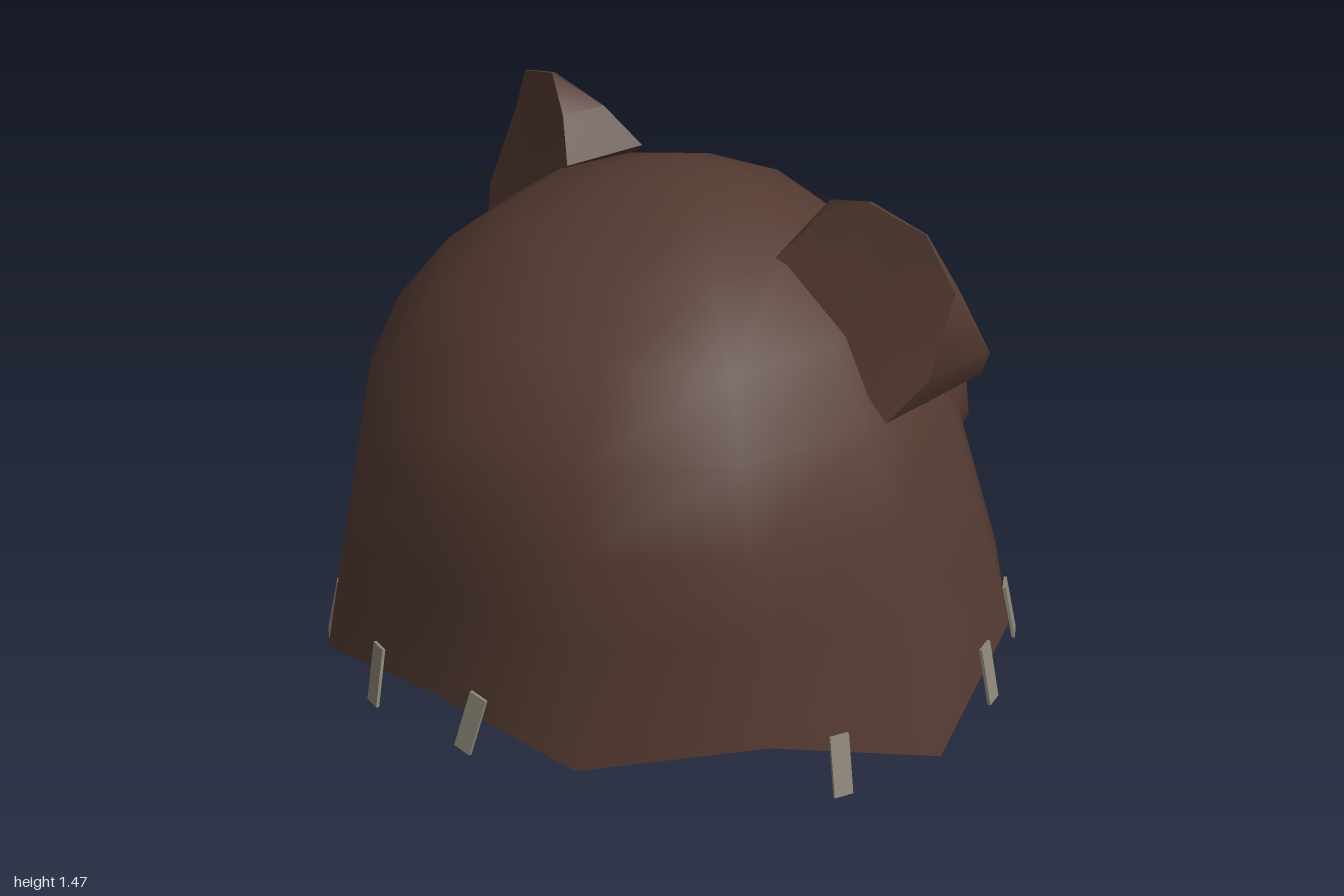
import * as THREE from 'three';
import { toCreasedNormals } from 'three/addons/utils/BufferGeometryUtils.js';

const mat = (name, color) => {
  const m = new THREE.MeshStandardMaterial({ color, side: THREE.DoubleSide });
  m.name = name;
  return m;
};

// Skin a surface over closed rings of points; a one-point ring is a pole.
function loft(rings) {
  const n = Math.max(...rings.map((r) => r.length));
  const pos = [], start = [], index = [];
  for (const r of rings) {
    start.push(pos.length / 3);
    for (const p of r) pos.push(...p);
  }
  const at = (i, k) => start[i] + (k % rings[i].length);
  for (let i = 0; i < rings.length - 1; i++) {
    for (let k = 0; k < n; k++) {
      const a = at(i, k), b = at(i, k + 1), c = at(i + 1, k + 1), d = at(i + 1, k);
      if (a !== b) index.push(a, b, c);
      if (c !== d) index.push(a, c, d);
    }
  }
  const g = new THREE.BufferGeometry();
  g.setAttribute('position', new THREE.Float32BufferAttribute(pos, 3));
  g.setIndex(index);
  g.computeVertexNormals();
  return g;
}

export function createModel() {
  const group = new THREE.Group();
  const fur = mat('brown fur', 0x543a31);
  const noseMat = mat('dark nose', 0x2e3124);
  const thread = mat('grey stitches', 0x8f8878);
  const add = (name, geometry, material) => {
    const m = new THREE.Mesh(geometry, material);
    m.name = name;
    group.add(m);
    return m;
  };

  // Hood: ragged rim, then elliptical rings [y, radiusX, radiusZ, centreZ]
  const rim = [
    [0, 0.2, 0.97], [0.47, 0.13, 0.87], [0.81, 0.19, 0.5], [1, 0.02, 0.03],
    [0.82, 0.13, -0.46], [0.45, 0.07, -0.85], [-0.02, 0.11, -0.9], [-0.52, 0.06, -0.86],
    [-0.84, 0.13, -0.47], [-1, 0.13, 0.03], [-0.83, 0.19, 0.54], [-0.53, 0.05, 0.9],
  ];
  const domeRings = [
    [0.73, 0.875, 0.82, 0.09], [0.95, 0.77, 0.74, 0.09], [1.14, 0.63, 0.6, 0.07],
    [1.285, 0.43, 0.42, 0.05], [1.37, 0.21, 0.2, 0.03],
  ].map(([y, rx, rz, cz]) => rim.map((_, k) => {
    const a = (k * Math.PI) / 6;
    return [-0.015 + rx * Math.sin(a), y, cz + rz * Math.cos(a)];
  }));
  const waist = rim.map((p, k) => p.map((v, i) => v + (domeRings[0][k][i] - v) * 0.57));
  add('hood', loft([rim, waist, ...domeRings, [[-0.015, 1.4, 0.03]]]), fur);

  // Ears: wedges that widen toward the base at both ends
  const frontRim = [
    [0.76, 0.95, 0.03], [0.83, 1.07, -0.05], [0.82, 1.28, -0.15], [0.74, 1.43, -0.12],
    [0.58, 1.48, -0.08], [0.46, 1.41, -0.01], [0.38, 1.3, 0.05],
  ];
  const backRim = [
    [0.76, 0.95, -0.35], [0.84, 1.07, -0.28], [0.82, 1.28, -0.17], [0.74, 1.43, -0.125],
    [0.58, 1.48, -0.09], [0.41, 1.42, -0.12], [0.32, 1.31, -0.18],
  ];
  const earRings = [[[0.58, 1.2, -0.2]], backRim, frontRim, [[0.58, 1.2, 0]]];
  const mirrored = earRings.map((r) => r.map(([x, y, z]) => [-0.04 - x, y, z]).reverse());
  add('leftEar', toCreasedNormals(loft(earRings), 0.7), fur);
  add('rightEar', toCreasedNormals(loft(mirrored), 0.7), fur);

  // Muzzle: tilted oval cushion on the -z side
  const oval = (rx, yTop, zTop, yLow, zLow) => Array.from({ length: 10 }, (_, k) => {
    const a = (k * Math.PI) / 5 + Math.PI / 2, s = (Math.sin(a) + 1) / 2;
    return [-0.025 - rx * Math.cos(a), yLow + (yTop - yLow) * s, zLow + (zTop - zLow) * s];
  });
  add('muzzle', loft([
    oval(0.37, 0.73, -0.72, 0.22, -0.83),
    oval(0.31, 0.69, -0.87, 0.26, -0.94),
    [[-0.025, 0.5, -0.98]],
  ]), fur);

  // Nose pad and the line below it
  const nose = add('nose', new THREE.CylinderGeometry(0.12, 0.145, 0.03, 10), noseMat);
  nose.scale.z = 0.6;
  nose.rotation.x = -1.02;
  nose.position.set(-0.025, 0.57, -0.945);
  const line = add('noseLine', new THREE.CylinderGeometry(0.03, 0.008, 0.2, 6), noseMat);
  line.scale.z = 0.5;
  line.rotation.x = -0.13;
  line.position.set(-0.025, 0.41, -0.972);

  // Stitches around the rim: [x, y, z, tilt]
  const stitches = [
    [-0.61, 0.1, -0.75, 0.1], [-0.83, 0.13, -0.49, -0.2], [-0.97, 0.12, -0.1, 0.05],
    [-0.96, 0.14, 0.2, 0.15], [-0.83, 0.165, 0.54, -0.2], [-0.61, 0.1, 0.81, -0.12],
    [-0.235, 0.13, 0.96, 0.07], [0.155, 0.165, 0.955, -0.2], [0.75, 0.11, -0.55, 0.05],
    [0.91, 0.1, -0.27, 0], [0.91, 0.1, 0.33, 0],
  ];
  const plate = new THREE.BoxGeometry(0.055, 0.175, 0.009);
  for (const [x, y, z, tilt] of stitches) {
    const s = add('stitch', plate, thread);
    s.position.set(x, y, z);
    s.rotation.set(-0.2, Math.atan2(x, z), tilt, 'YXZ');
  }
  return group;
}
